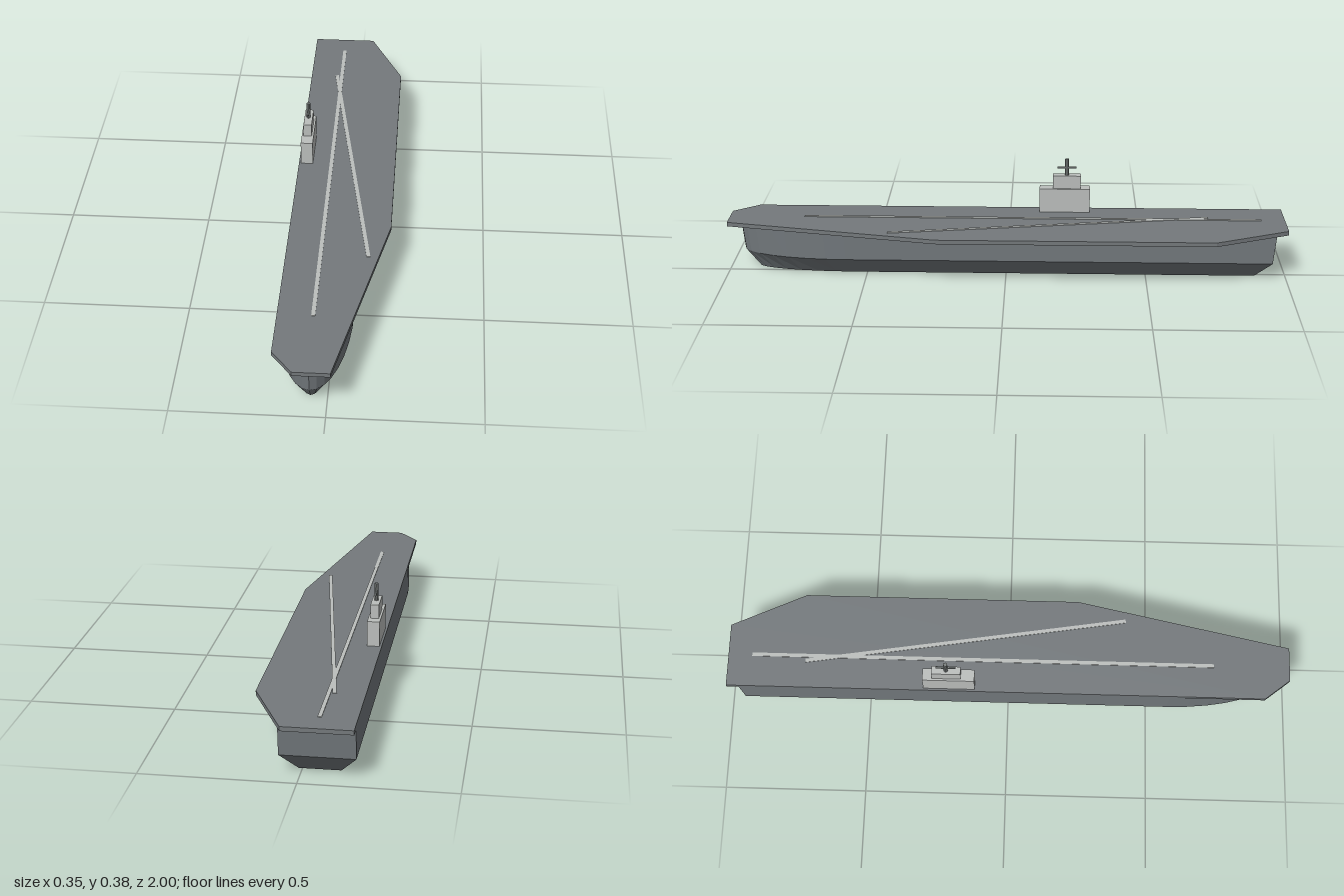
import * as THREE from 'three';

const mat = (name, color, side = THREE.FrontSide) =>
  Object.assign(new THREE.MeshStandardMaterial({ color, flatShading: true, side }), { name });

export function createModel() {
  const ship = new THREE.Group();
  ship.name = 'aircraftCarrier';
  const hullGrey = mat('hull grey', 0x72787c);
  const deckGrey = mat('deck grey', 0x74797c);
  const paleGrey = mat('pale grey', 0xbcbfbd);
  const mastGrey = mat('mast grey', 0x7c8180);

  const add = (name, geometry, material, x = 0, y = 0, z = 0) => {
    const mesh = new THREE.Mesh(geometry, material);
    mesh.name = name;
    mesh.position.set(x, y, z);
    ship.add(mesh);
    return mesh;
  };
  const box = (name, material, w, h, d, x, y, z) =>
    add(name, new THREE.BoxGeometry(w, h, d), material, x, y, z);

  // Hull: one waterline outline, scaled at the keel, chine and deck
  const bowSteps = 16;
  const ring = (y, halfWidth, bow, stern, bowLength) => {
    const points = [[-halfWidth, y, stern], [halfWidth, y, stern]].reverse();
    for (let i = 0; i <= bowSteps; i++) {
      const a = Math.PI * (i / bowSteps);
      points.push([-halfWidth * Math.cos(a), y, bow - bowLength * (1 - Math.sin(a))]);
    }
    return points;
  };
  const rings = [
    ring(0, 0.067, 0.9, -0.89, 0.36),
    ring(0.067, 0.121, 0.95, -0.947, 0.38),
    ring(0.172, 0.121, 0.962, -0.957, 0.385),
  ];
  const n = rings[0].length;
  const index = [];
  for (let r = 0; r < rings.length - 1; r++) {
    for (let i = 0; i < n; i++) {
      const a = r * n + i, b = r * n + (i + 1) % n;
      index.push(a, a + n, b, b, a + n, b + n);
    }
  }
  const top = (rings.length - 1) * n;
  for (let i = 1; i < n - 1; i++) {
    index.push(0, i, i + 1, top, top + i + 1, top + i);
  }
  // Outline runs clockwise or not: orient every face outward
  const hull = new THREE.BufferGeometry();
  hull.setAttribute('position', new THREE.Float32BufferAttribute(rings.flat(2), 3));
  hull.setIndex(index);
  const p = hull.attributes.position;
  const [a, b, c, centre] = [0, 1, 2, 3].map(() => new THREE.Vector3());
  centre.set(0, 0.09, 0);
  for (let i = 0; i < index.length; i += 3) {
    a.fromBufferAttribute(p, index[i]);
    b.fromBufferAttribute(p, index[i + 1]);
    c.fromBufferAttribute(p, index[i + 2]);
    const normal = b.clone().sub(a).cross(c.clone().sub(a));
    if (normal.dot(a.clone().sub(centre)) < 0) {
      [index[i + 1], index[i + 2]] = [index[i + 2], index[i + 1]];
    }
  }
  hull.setIndex(index);
  const hullFlat = hull.toNonIndexed();
  hullFlat.computeVertexNormals();
  add('hull', hullFlat, hullGrey, -0.055);

  // Flight deck: angled slab overhanging the left side
  const outline = [
    [-0.176, -1], [0.052, -1], [0.174, -0.735], [0.174, 0.245],
    [0.016, 1], [-0.105, 1], [-0.176, 0.91],
  ].map(([x, z]) => new THREE.Vector2(x, -z));
  const deck = new THREE.ExtrudeGeometry(new THREE.Shape(outline), { depth: 0.015, bevelEnabled: false });
  deck.rotateX(-Math.PI / 2);
  add('flightDeck', deck, deckGrey, 0, 0.171, 0);

  // Runway stripes
  const stripe = (name, x1, z1, x2, z2) => {
    const mesh = box(name, paleGrey, 0.013, 0.002, Math.hypot(x2 - x1, z2 - z1),
      (x1 + x2) / 2, 0.187, (z1 + z2) / 2);
    mesh.rotation.y = Math.atan2(x2 - x1, z2 - z1);
  };
  stripe('centreStripe', -0.058, -0.915, -0.058, 0.73);
  stripe('angledStripe', -0.077, -0.724, 0.104, 0.416);

  // Island tower, mast and crossbar
  box('islandBase', paleGrey, 0.043, 0.088, 0.182, -0.147, 0.23, -0.209);
  box('islandBridge', paleGrey, 0.029, 0.048, 0.101, -0.147, 0.298, -0.216);
  add('mast', new THREE.CylinderGeometry(0.007, 0.007, 0.061, 8), mastGrey, -0.147, 0.3525, -0.216);
  box('mastCrossbar', mastGrey, 0.006, 0.006, 0.07, -0.147, 0.35, -0.216);
  return ship;
}
